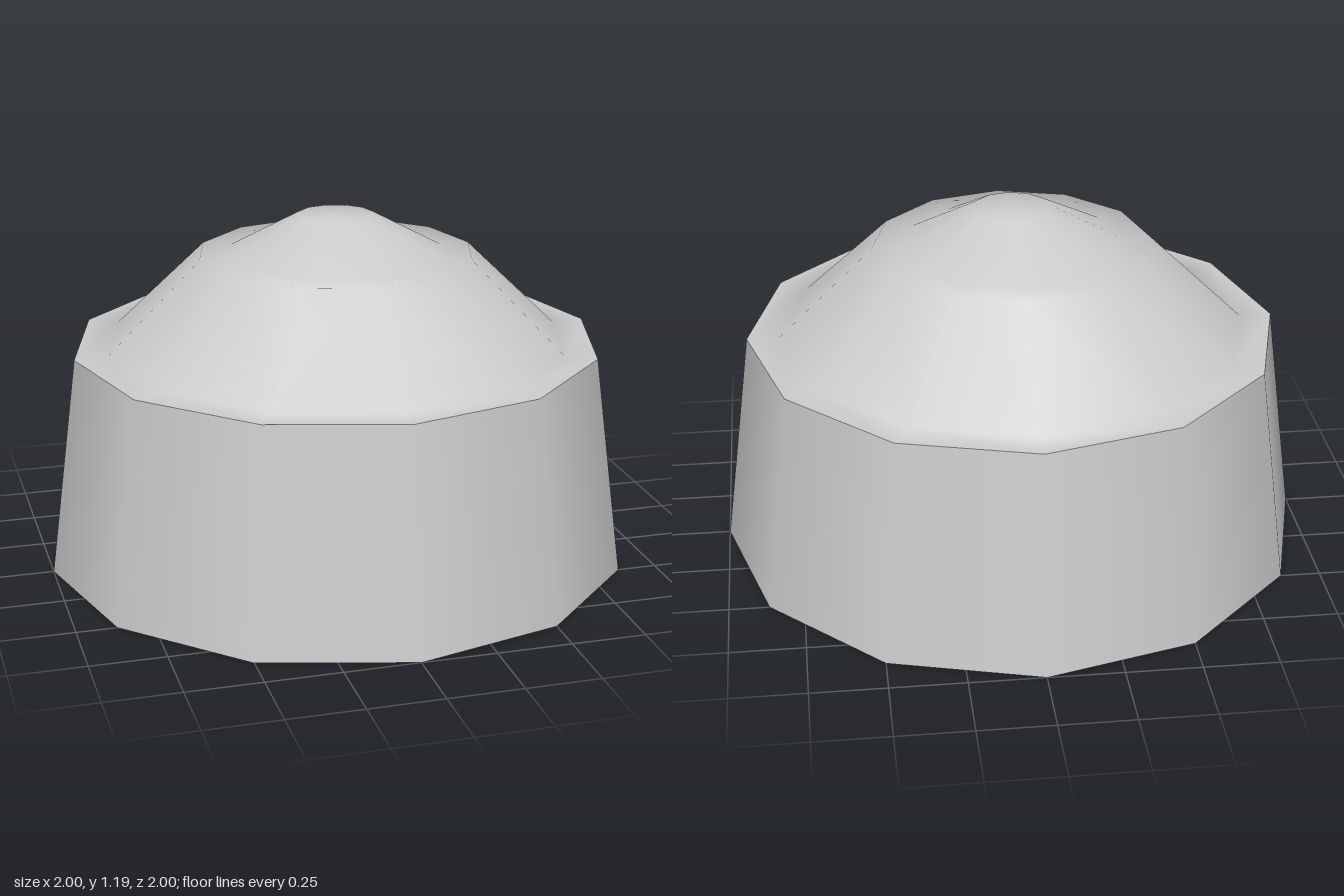
import * as THREE from 'three';

const SIDES = 12;

export function createModel() {
  const group = new THREE.Group();
  group.name = 'steppedDome';
  const material = new THREE.MeshStandardMaterial({ color: 0xcccccc });

  // Each profile runs [radius, height]; separate meshes keep the rims sharp.
  const ring = (name, profile) => {
    const points = profile.map(([r, y]) => new THREE.Vector2(r, y));
    const mesh = new THREE.Mesh(new THREE.LatheGeometry(points, SIDES), material);
    mesh.name = name;
    group.add(mesh);
  };

  // Tapered outer wall
  ring('outerWall', [[1, 0], [0.9, 0.75]]);

  // Roof stepping in twice to a small flat top
  ring('domedRoof', [
    [0.9, 0.75], [0.79, 0.75],
    [0.47, 1.06], [0.37, 1.06],
    [0.13, 1.19], [0, 1.19],
  ]);

  // Hollow inside, open at the bottom
  ring('ceiling', [[0, 0.76], [0.65, 0.76]]);
  ring('innerWall', [[0.65, 0.76], [0.8, 0]]);
  ring('bottomRim', [[0.8, 0], [1, 0]]);

  return group;
}
